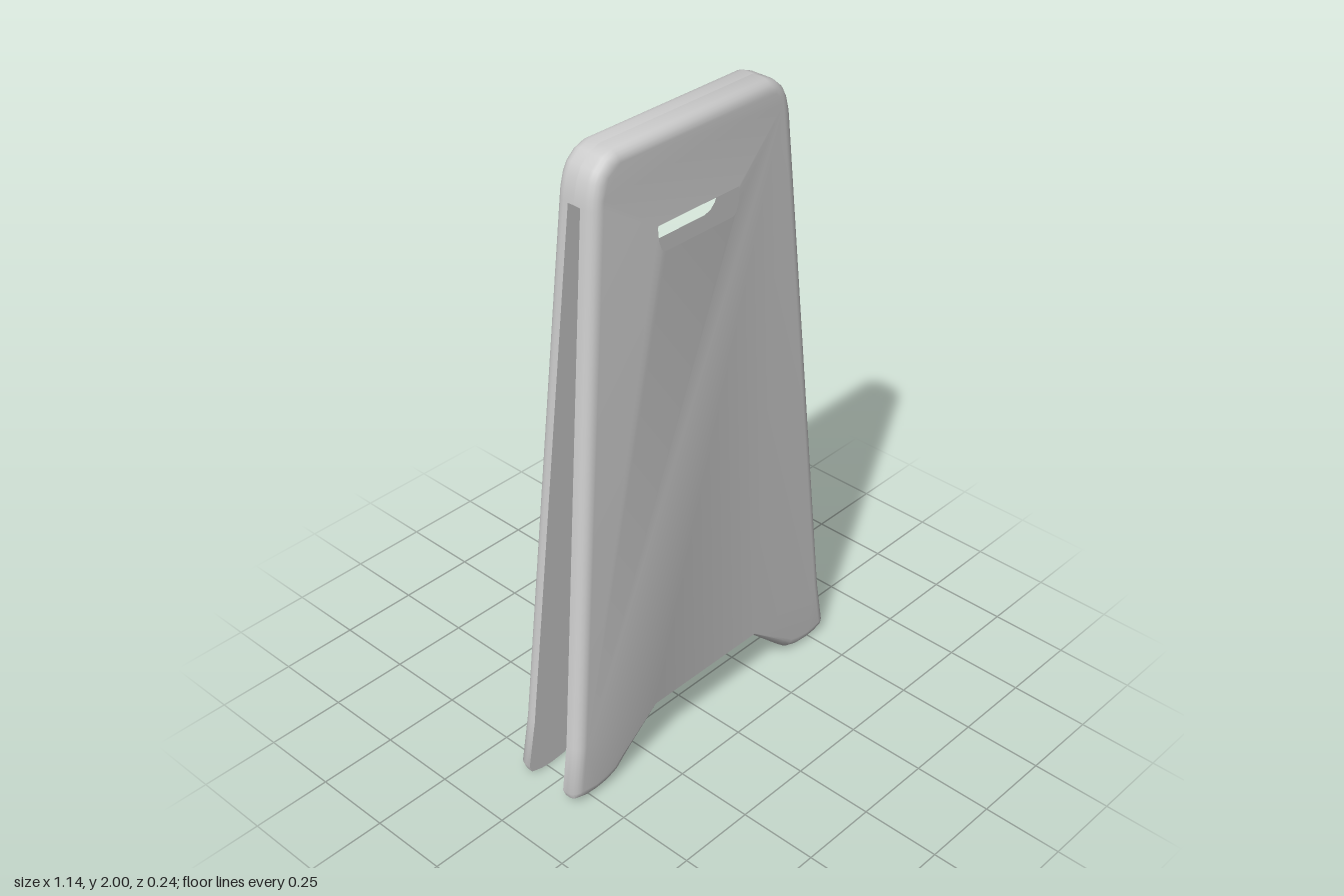
import * as THREE from 'three';
import { toCreasedNormals } from 'three/addons/utils/BufferGeometryUtils.js';

const SLOT_TOP = 1.86;   // above this the two panels are one solid piece
const THICK = 0.05;      // panel thickness
const BEVEL = 0.034;     // soft outer edge

const material = new THREE.MeshStandardMaterial({ color: 0xcccccc });

// Right half of the panel outline, from the top down and round the foot.
const half = [
  [0.29, 2], [0.325, 1.987], [0.355, 1.96], [0.37, 1.93], [0.38, 1.89],
  [0.383, 1.861], [0.3831, SLOT_TOP], [0.545, 0.2], [0.57, 0.04], [0.56, 0.015],
  [0.52, 0.003], [0.48, 0], [0.43, 0.004], [0.385, 0.02], [0.35, 0.05], [0.21, 0.18],
];
// Right half of the hand hole.
const holeHalf = [
  [0.185, 1.775], [0.192, 1.735], [0.189, 1.69], [0.175, 1.65], [0.158, 1.633], [0.135, 1.625],
];

// Closes a half outline by mirroring it over x = 0.
function mirrored(points) {
  const left = points.map(([x, y]) => [-x, y]).reverse();
  return [...points, ...left].map(([x, y]) => new THREE.Vector2(x, y));
}

function panelShape(points) {
  const shape = new THREE.Shape(mirrored(points));
  shape.holes.push(new THREE.Path(mirrored(holeHalf)));
  return shape;
}

// Inner face of the leaning panel at height y.
const innerZ = (y) => 0.022 + 0.05 * (SLOT_TOP - y) / SLOT_TOP;

// Outer skin and rim: the front half of a bevelled extrusion, leaned outwards.
function shellGeometry() {
  const flat = THICK - BEVEL;
  const full = new THREE.ExtrudeGeometry(panelShape(half), {
    depth: 2 * flat, steps: 2, bevelEnabled: true, bevelThickness: BEVEL,
    bevelSize: BEVEL, bevelOffset: -BEVEL, bevelSegments: 5,
  });
  const p = full.attributes.position;
  const out = [];
  for (let i = 0; i < p.count; i += 3) {
    const mid = (p.getZ(i) + p.getZ(i + 1) + p.getZ(i + 2)) / 3;
    if (mid < flat) continue;
    for (let j = i; j < i + 3; j++) {
      const x = p.getX(j);
      let y = p.getY(j);
      const t = p.getZ(j) - flat;
      // the grip above the hand hole and the arch between the feet keep crisp edges
      if (Math.abs(x) < 0.26 && y > 1.775 && y < 1.83) y = 1.775;
      if (Math.abs(x) < 0.24 && y > 0.18 && y < 0.23) y = 0.18;
      // the rim of the solid top reaches the middle plane
      const solid = t < 1e-5 && y > SLOT_TOP + 0.0005;
      out.push(x, y, solid ? 0 : innerZ(y) + t);
    }
  }
  const g = new THREE.BufferGeometry();
  g.setAttribute('position', new THREE.Float32BufferAttribute(out, 3));
  return toCreasedNormals(g, 0.7);
}

// Flat inner face of a panel, turned towards the slot.
function innerGeometry() {
  const g = new THREE.ShapeGeometry(panelShape(half.filter(([, y]) => y <= SLOT_TOP)));
  g.rotateY(Math.PI);
  const p = g.attributes.position;
  for (let i = 0; i < p.count; i++) p.setZ(i, innerZ(p.getY(i)));
  g.computeVertexNormals();
  return g;
}

function named(geometry, name) {
  const mesh = new THREE.Mesh(geometry, material);
  mesh.name = name;
  return mesh;
}

export function createModel() {
  const model = new THREE.Group();
  model.name = 'foldingFloorSign';
  const shell = shellGeometry();
  const inner = innerGeometry();

  // Two identical panels, back to back
  ['frontPanel', 'backPanel'].forEach((name, i) => {
    const panel = new THREE.Group();
    panel.name = name;
    panel.add(named(shell, 'panelShell'), named(inner, 'panelInnerFace'));
    panel.rotation.y = i * Math.PI;
    model.add(panel);
  });

  // Underside of the solid top, closing the slot
  const ceiling = named(new THREE.PlaneGeometry(0.766, 0.044).rotateX(Math.PI / 2), 'slotCeiling');
  ceiling.position.y = SLOT_TOP;
  model.add(ceiling);
  return model;
}
